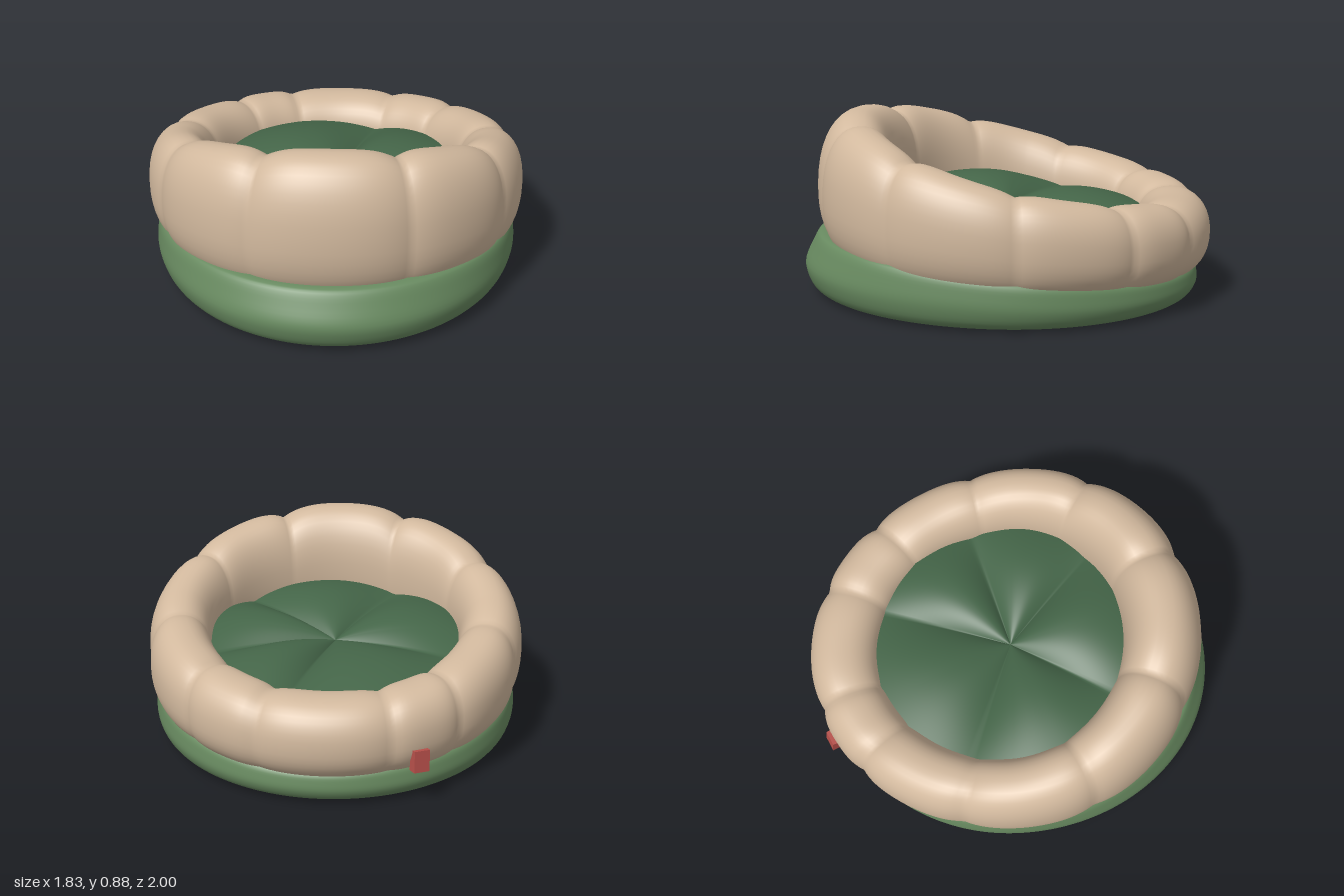
import * as THREE from 'three';

const STEPS = 240;
const RAD = Math.PI / 180;

// Seams of the padded rim, in degrees from the front, one full turn
const RIM_SEAMS = [-24, 24, 63, 102, 135, 160, 200, 222, 256, 296, 336];
// Creases of the cushion
const CUSHION_SEAMS = [-107, -28, 48, 107, 162, 253];

// Position inside the current panel: -1 and 1 at its seams, 0 in the middle
function panel(angle, seams) {
  let d = angle / RAD;
  if (d >= seams[seams.length - 1]) d -= 360;
  for (let i = 0; i < seams.length - 1; i++) {
    if (d >= seams[i] && d < seams[i + 1]) {
      return (2 * (d - seams[i])) / (seams[i + 1] - seams[i]) - 1;
    }
  }
  return 0;
}

// Oval with its own front and back length
function oval(angle, halfWidth, front, back) {
  const c = Math.cos(angle);
  return [halfWidth * Math.sin(angle), c * (c > 0 ? front : back)];
}

// Surface swept once round the y axis; point(angle, j) gives each section point
function loft(name, material, count, closed, point) {
  const positions = [];
  const index = [];
  for (let i = 0; i < STEPS; i++) {
    for (let j = 0; j < count; j++) positions.push(...point((i / STEPS) * Math.PI * 2, j));
  }
  for (let i = 0; i < STEPS; i++) {
    const n = (i + 1) % STEPS;
    for (let j = 0; j < (closed ? count : count - 1); j++) {
      const k = (j + 1) % count;
      const a = i * count + j, b = n * count + j, c = n * count + k, d = i * count + k;
      index.push(a, b, c, a, c, d);
    }
  }
  const geometry = new THREE.BufferGeometry();
  geometry.setAttribute('position', new THREE.Float32BufferAttribute(positions, 3));
  geometry.setIndex(index);
  geometry.computeVertexNormals();
  const mesh = new THREE.Mesh(geometry, material);
  mesh.name = name;
  return mesh;
}

function paint(name, color) {
  const material = new THREE.MeshStandardMaterial({ color });
  material.name = name;
  return material;
}

export function createModel() {
  const tan = paint('tan fabric', 0xd2b99e);
  const green = paint('green base fabric', 0x688a60);
  const darkGreen = paint('dark green cushion fabric', 0x446548);
  const red = paint('red tag', 0xb8504a);
  const bed = new THREE.Group();
  bed.name = 'petBed';

  // Base: rounded ring, taller at the front
  const profile = new THREE.SplineCurve([
    [0.67, 0.22], [0.68, 0.13], [0.72, 0.04], [0.81, 0.003], [0.91, 0.008], [0.97, 0.04],
    [1, 0.11], [0.998, 0.18], [0.985, 0.235], [0.95, 0.255], [0.84, 0.255],
  ].map(([k, y]) => new THREE.Vector2(k, y))).getPoints(40);
  bed.add(loft('baseRing', green, profile.length, false, (a, j) => {
    const c = Math.cos(a);
    const { x: k, y } = profile[j];
    const top = 0.24 + 0.085 * c - 0.035 * Math.max(c, 0) ** 2;
    const lean = 0.05 * Math.max(c, 0) ** 2 * THREE.MathUtils.smoothstep(y, 0.1, 0.25);
    const [x, z] = oval(a, 0.885, 1, 0.94);
    return [x * (k - lean), k < 0.75 ? y : (y * top) / 0.245, z * (k - lean)];
  }));

  // Underside panel closing the hollow of the base
  bed.add(loft('undersidePanel', green, 6, false, (a, j) => {
    const [x, z] = oval(a, 0.885, 1, 0.94);
    const k = (j / 5) * 0.69;
    return [x * k, 0.19, z * k];
  }));

  // Padded rim: puffed panels pinched at the seams, sloping down to the back
  const RIM_POINTS = 40;
  const round = (s) => Math.sign(s) * Math.abs(s) ** (2 / 2.25);
  bed.add(loft('paddedRim', tan, RIM_POINTS, true, (a, j) => {
    const c = Math.cos(a);
    const pinch = Math.abs(panel(a, RIM_SEAMS)) ** 4;
    const top = 0.657 + 0.192 * c + 0.03 * c * c - (0.025 + 0.02 * Math.max(c, 0)) * pinch;
    const bottom = 0.165 + 0.045 * c;
    const t = (j / RIM_POINTS) * Math.PI * 2;
    const u = round(Math.cos(t));
    const v = round(Math.sin(t));
    const inner = oval(a, 0.605, 0.55, 0.655);
    const outer = oval(a, 0.915, 0.925, 1);
    const squeeze = (u > 0 ? 0.13 : 0.03) * pinch;
    const f = 0.5 + 0.5 * u * (1 - squeeze) - 0.04 * v * Math.max(c, 0);
    return [
      THREE.MathUtils.lerp(inner[0], outer[0], f),
      (top + bottom) / 2 + (v * (top - bottom)) / 2,
      THREE.MathUtils.lerp(inner[1], outer[1], f),
    ];
  }));

  // Cushion: soft lobes meeting in a dimple at the centre
  const RINGS = 28;
  bed.add(loft('cushion', darkGreen, RINGS + 1, false, (a, j) => {
    const k = 1 - j / RINGS;
    const [x, z] = oval(a, 0.68, 0.64, 0.74);
    const lobe = 1 - Math.abs(panel(a, CUSHION_SEAMS)) ** 2.2;
    const puff = Math.sin(Math.PI * k * 0.9) ** 0.9;
    return [x * k, 0.405 + 0.09 * z * k + puff * (0.02 + 0.07 * lobe), z * k];
  }));

  // Small tag on the back
  const tag = new THREE.Mesh(new THREE.BoxGeometry(0.075, 0.1, 0.045), red);
  tag.name = 'tag';
  tag.position.set(-0.425, 0.22, -0.885);
  tag.rotation.set(0.12, 28 * RAD, 0);
  bed.add(tag);

  return bed;
}
